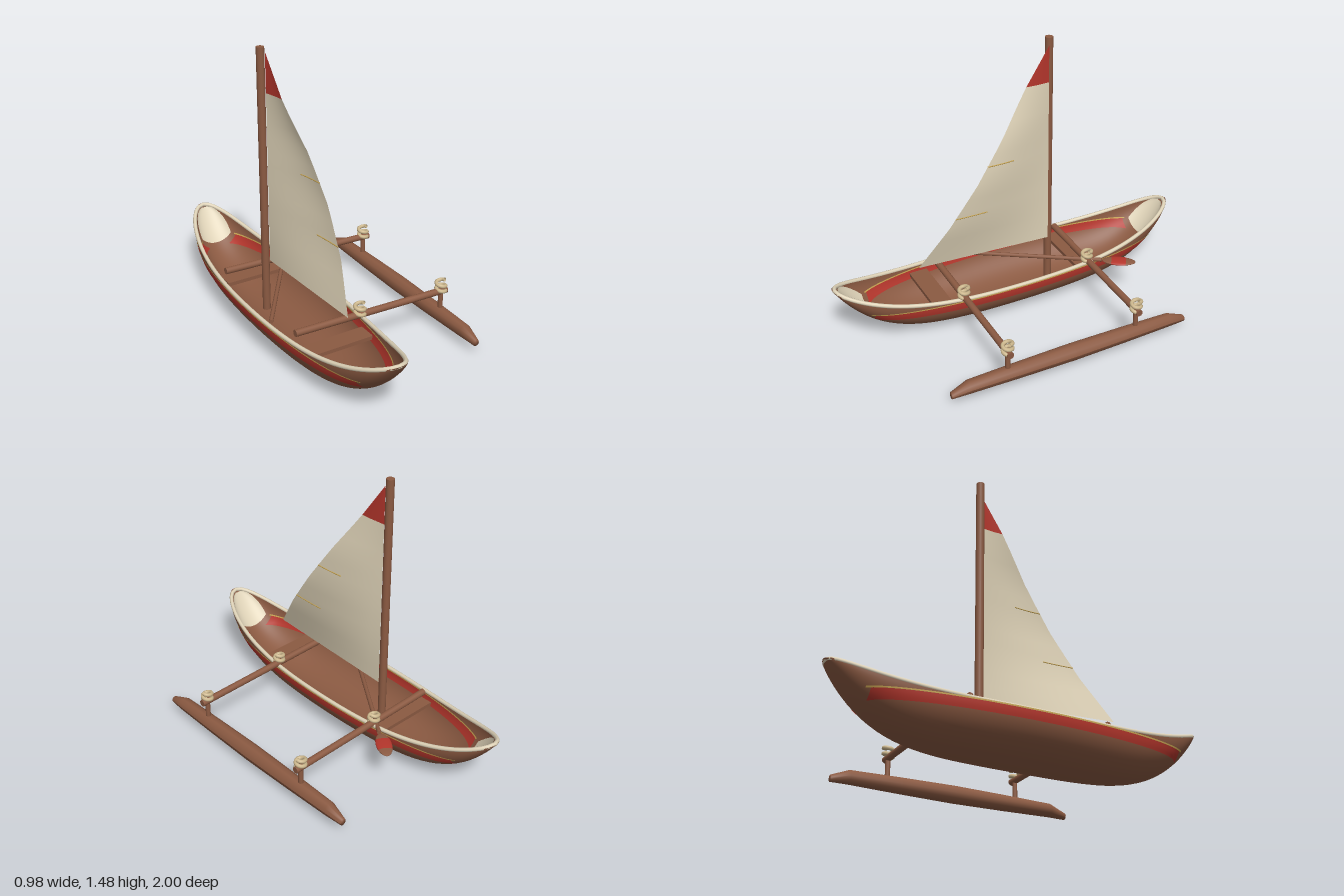
import * as THREE from 'three';
import { ParametricGeometry } from 'three/addons/geometries/ParametricGeometry.js';

function material(name, color) {
  const m = new THREE.MeshStandardMaterial({ color, side: THREE.DoubleSide });
  m.name = name;
  return m;
}

const HULL_X = -0.26;
const lerp = THREE.MathUtils.lerp;

// Hull lines: half width, sheer height and keel height along z
const sheer = (z) => 0.205 + 0.135 * Math.abs(z) ** 3.5;
const outer = {
  length: 1,
  width: (z) => 0.235 * Math.sqrt(Math.max(0, 1 - z * z)),
  keel: (z) => 0.34 * Math.abs(z) ** 4.67,
};
const inner = {
  length: 0.97,
  width: (z) => 0.217 * Math.sqrt(Math.max(0, 1 - (z / 0.97) ** 2)),
  keel: (z) => Math.min(sheer(z), 0.022 + 0.303 * Math.abs(z / 0.97) ** 4.67),
};

export function createModel() {
  const model = new THREE.Group();
  model.name = 'outriggerSailingCanoe';
  const wood = material('wood', 0x8b5a42);
  const cream = material('cream', 0xdfd3b8);
  const red = material('red', 0xb5362c);
  const rope = material('rope', 0xcdb88e);
  const gold = material('gold', 0xc8a552);

  function add(name, geometry, mat, parent = model) {
    const mesh = new THREE.Mesh(geometry, mat);
    mesh.name = name;
    parent.add(mesh);
    return mesh;
  }
  function surface(name, fn, nu, nv, mat) {
    const geometry = new ParametricGeometry(fn, nu, nv);
    geometry.computeVertexNormals();
    return add(name, geometry, mat);
  }
  function rod(name, a, b, radius, mat, sides = 14) {
    const from = new THREE.Vector3(...a), to = new THREE.Vector3(...b);
    const mesh = add(name, new THREE.CylinderGeometry(radius, radius, from.distanceTo(to), sides), mat);
    mesh.position.copy(from).add(to).multiplyScalar(0.5);
    mesh.quaternion.setFromUnitVectors(new THREE.Vector3(0, 1, 0), to.sub(from).normalize());
    return mesh;
  }

  // Hull skins: elliptical sections that shrink to both tips
  function section(skin, z, angle, lift, target) {
    const s = sheer(z);
    target.set(
      HULL_X + skin.width(z) * Math.cos(angle),
      s - (s - skin.keel(z)) * Math.sin(angle) + lift,
      z
    );
  }
  function skinMesh(name, skin) {
    surface(name, (u, v, t) => {
      const z = skin.length * Math.sin((v - 0.5) * Math.PI);
      section(skin, z, u * Math.PI, 0, t);
    }, 32, 56, wood);
  }
  skinMesh('hull', outer);
  skinMesh('hullInterior', inner);

  // Pale linings inside bow and stern
  for (const end of [1, -1]) {
    surface(end > 0 ? 'bowLining' : 'sternLining', (u, v, t) => {
      const margin = 0.22 * Math.PI * (1 - v);
      section(inner, end * lerp(0.82, 0.968, v), lerp(margin, Math.PI - margin, u), 0.004, t);
    }, 20, 14, cream);
  }

  // Painted bands that follow the hull sides at a level height
  function band(name, skin, offset, low, high, reach, mat) {
    for (const side of [1, -1]) {
      surface(name, (u, v, t) => {
        const z = lerp(-reach, reach, v);
        const s = sheer(z), k = skin.keel(z);
        const y = Math.max(lerp(low, high, u), k);
        const f = (s - y) / (s - k);
        const x = skin.width(z) * Math.sqrt(Math.max(0, 1 - f * f)) + offset;
        t.set(HULL_X + side * x, y, z);
      }, 4, 60, mat);
    }
  }
  band('outerRedBand', outer, 0.003, 0.155, 0.2, 0.82, red);
  band('innerRedBand', inner, -0.003, 0.155, 0.2, 0.79, red);
  band('outerGoldLine', outer, 0.004, 0.2, 0.207, 0.84, gold);
  band('innerGoldLine', inner, -0.004, 0.2, 0.207, 0.8, gold);

  // Gunwale rim
  const rimPoints = [];
  for (let i = 0; i < 48; i++) {
    const a = (i / 48) * Math.PI * 2;
    const z = 0.988 * Math.sin(a);
    rimPoints.push(new THREE.Vector3(HULL_X + 0.226 * Math.cos(a), sheer(z) + 0.001, z));
  }
  add('gunwale', new THREE.TubeGeometry(new THREE.CatmullRomCurve3(rimPoints, true), 120, 0.011, 8, true), cream);

  // Seats
  for (const z of [0.465, -0.37]) {
    add('seat', new THREE.BoxGeometry(0.36, 0.02, 0.1), wood).position.set(HULL_X, 0.175, z);
  }

  // Mast
  rod('mast', [HULL_X, 0.02, -0.235], [HULL_X, 1.475, -0.235], 0.021, wood, 16);

  // Sail: straight luff, leech bowed sideways
  const bow = [0, 0.058, 0.08, 0.064, 0.014, 0.003];
  function sailPoint(u, v, t) {
    const row = Math.min(4, Math.floor(v * 5 + 1e-6));
    const depth = lerp(bow[row], bow[row + 1], v * 5 - row);
    t.set(
      -0.239 + depth * Math.sin(u * Math.PI / 2),
      lerp(lerp(0.31, 0.345, u), 1.44, v),
      lerp(-0.225, lerp(0.535, -0.225, v), u)
    );
  }
  surface('sail', (u, v, t) => sailPoint(u, v * 0.82, t), 10, 12, cream);
  surface('sailTip', (u, v, t) => sailPoint(u, lerp(0.82, 1, v), t), 8, 4, red);

  // Thin battens on the sail
  for (const [v, start] of [[0.49, 0.6], [0.25, 0.68]]) {
    const points = [];
    for (let i = 0; i <= 4; i++) {
      const p = new THREE.Vector3();
      sailPoint(lerp(start, 1, i / 4), v, p);
      points.push(p);
    }
    add('batten', new THREE.TubeGeometry(new THREE.CatmullRomCurve3(points), 10, 0.003, 5), gold);
  }

  // Cross beams, float posts and coiled lashings
  for (const z of [0.365, -0.37]) {
    rod('crossBeam', [-0.43, 0.233, z], [0.475, 0.207, z], 0.018, wood);
    rod('floatPost', [0.44, 0.08, z], [0.44, 0.21, z], 0.013, wood);
    for (const [x, y] of [[-0.06, 0.222], [0.44, 0.207]]) {
      const coil = [];
      for (let i = 0; i <= 24; i++) {
        const a = (i / 24) * Math.PI * 4;
        coil.push(new THREE.Vector3(x + 0.024 * Math.cos(a), y + 0.06 * i / 24, z + 0.024 * Math.sin(a)));
      }
      add('lashing', new THREE.TubeGeometry(new THREE.CatmullRomCurve3(coil), 48, 0.0105, 8), rope);
    }
  }

  // Float: octagonal spar with tapered tips, [z, radius, centre height]
  const floatRows = [
    [-0.67, 0, 0.055], [-0.67, 0.018, 0.055], [-0.575, 0.036, 0.075], [-0.3, 0.042, 0.075], [0, 0.046, 0.075],
    [0.3, 0.042, 0.075], [0.575, 0.036, 0.075], [0.67, 0.018, 0.055], [0.67, 0, 0.055],
  ];
  surface('float', (u, v, t) => {
    const [z, r, y] = floatRows[Math.round(v * (floatRows.length - 1))];
    const a = u * Math.PI * 2;
    t.set(0.44 + r * Math.cos(a), y + r * Math.sin(a), z);
  }, 10, floatRows.length - 1, wood);

  // Paddle lying across the hull
  rod('paddleShaft', [-0.455, 0.205, 0.17], [-0.025, 0.217, -0.445], 0.011, wood, 10);
  const blade = new THREE.Group();
  blade.name = 'paddleBlade';
  blade.position.set(0.022, 0.212, -0.525);
  blade.rotation.y = -0.61;
  model.add(blade);
  add('bladeBody', new THREE.SphereGeometry(1, 20, 12), wood, blade).scale.set(0.04, 0.01, 0.092);
  const stripe = new THREE.SphereGeometry(1, 20, 8, 0, Math.PI * 2, Math.PI * 0.36, Math.PI * 0.28);
  stripe.rotateX(Math.PI / 2);
  add('bladeStripe', stripe, red, blade).scale.set(0.041, 0.0115, 0.093);

  return model;
}
